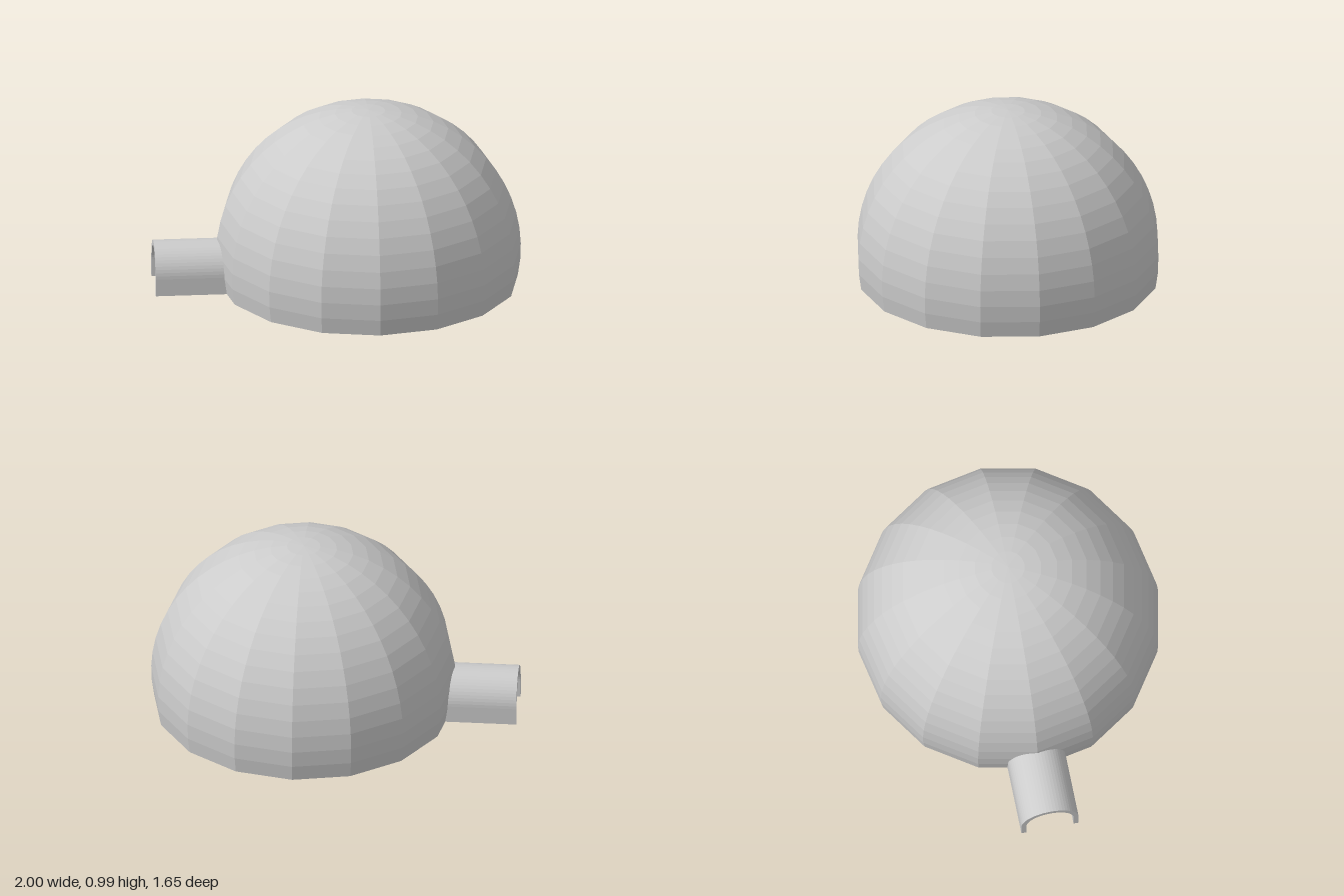
import * as THREE from 'three';

const R = 0.8285;          // dome radius
const SIDES = 16;
const STEP = Math.PI / 16; // one row of dome blocks
const REACH = 1.167;       // tunnel mouth, measured from the dome centre

// Stilted arch: straight legs carrying a half-round top, open at the ground
function archShape(outer, wall, legs) {
  const inner = outer - wall;
  const s = new THREE.Shape();
  s.moveTo(outer, 0);
  s.lineTo(outer, legs);
  s.absarc(0, legs, outer, 0, Math.PI, false);
  s.lineTo(-outer, 0);
  s.lineTo(-inner, 0);
  s.lineTo(-inner, legs);
  s.absarc(0, legs, inner, Math.PI, 0, true);
  s.lineTo(inner, 0);
  s.closePath();
  return s;
}

export function createModel() {
  const group = new THREE.Group();
  group.name = 'igloo';
  const material = new THREE.MeshStandardMaterial({ color: 0xcccccc, flatShading: true });
  const add = (name, geometry) => {
    const mesh = new THREE.Mesh(geometry, material);
    mesh.name = name;
    group.add(mesh);
  };

  // Dome: half sphere plus one row curving back in below the equator
  const dome = new THREE.SphereGeometry(R, SIDES, 16, 0, Math.PI * 2, 0, Math.PI / 2 + STEP);
  dome.translate(0, R * Math.sin(STEP), 0);
  add('dome', dome);

  // Floor closing the dome
  const floor = new THREE.CircleGeometry(R * Math.cos(STEP), SIDES);
  floor.rotateX(Math.PI / 2);
  add('floor', floor);

  // Entrance tunnel, running from just inside the dome wall out to the mouth
  const start = 0.74;
  const tunnel = new THREE.ExtrudeGeometry(archShape(0.158, 0.028, 0.097), {
    depth: REACH - start, bevelEnabled: false, curveSegments: 14,
  });
  tunnel.translate(0, 0, start);
  tunnel.rotateY(-Math.PI / 2);
  add('entranceTunnel', tunnel);

  group.rotation.y = THREE.MathUtils.degToRad(6.6);
  group.position.x = 0.177;
  const model = new THREE.Group();
  model.add(group);
  return model;
}
